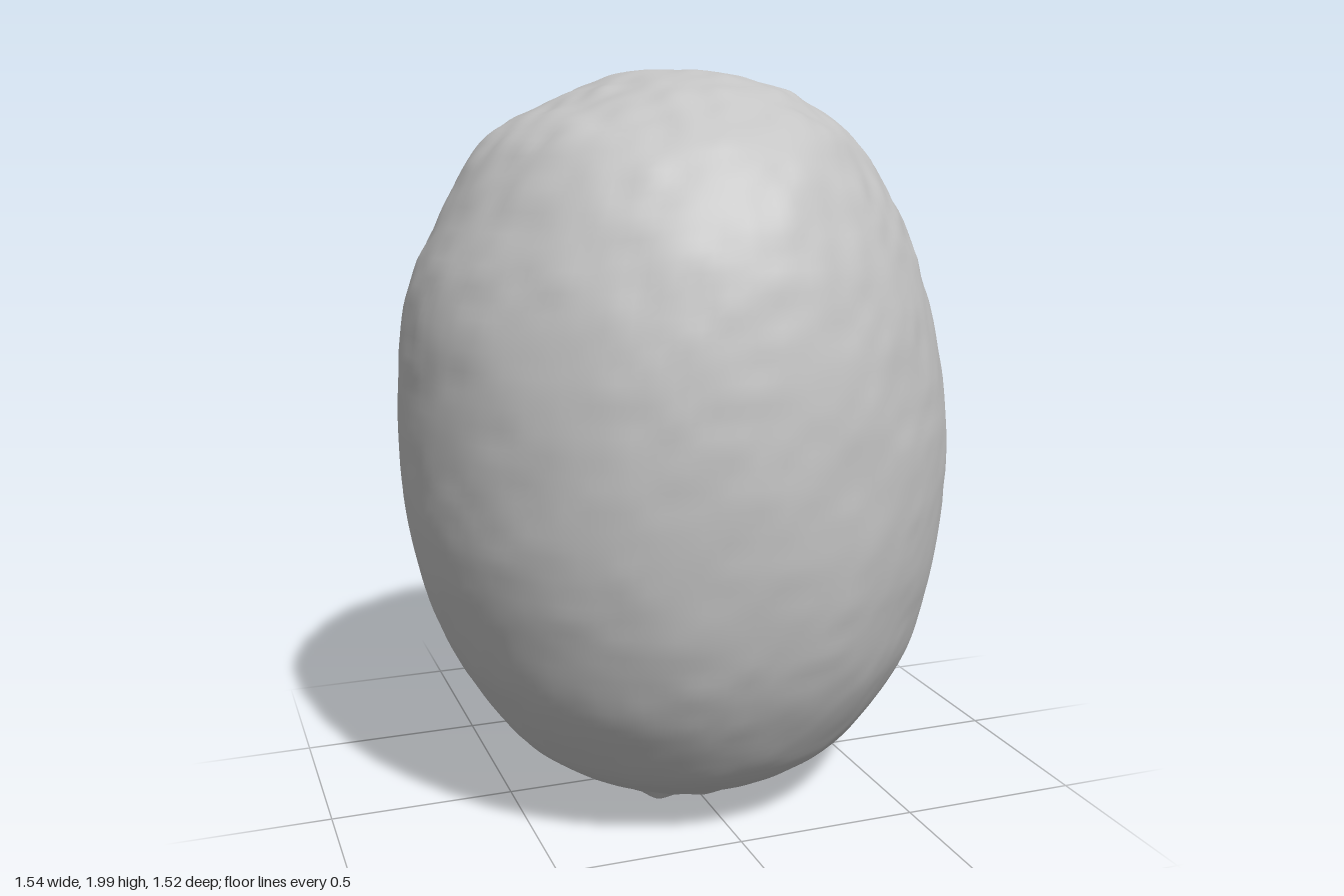
import * as THREE from 'three';

// Height, then half-widths toward +x, -x, +z, -z, from the underside dimple to the crown
const SECTIONS = [
  [0.06, 0, 0, 0, 0], [0.058, 0.09, 0.08, 0.08, 0.08], [0.08, 0.15, 0.14, 0.14, 0.14],
  [0.08, 0.2, 0.18, 0.18, 0.18], [0.04, 0.22, 0.2, 0.2, 0.2], [0.012, 0.24, 0.215, 0.22, 0.22],
  [0.028, 0.275, 0.24, 0.25, 0.25], [0.055, 0.32, 0.27, 0.29, 0.29],
  [0.1, 0.43, 0.365, 0.385, 0.39], [0.2, 0.555, 0.495, 0.515, 0.515], [0.4, 0.675, 0.63, 0.645, 0.63],
  [0.6, 0.727, 0.71, 0.715, 0.695], [0.8, 0.758, 0.755, 0.748, 0.735], [1.0, 0.766, 0.767, 0.758, 0.75],
  [1.2, 0.738, 0.762, 0.75, 0.756], [1.4, 0.685, 0.737, 0.718, 0.72], [1.6, 0.618, 0.652, 0.652, 0.612],
  [1.8, 0.487, 0.525, 0.53, 0.478], [1.9, 0.37, 0.37, 0.385, 0.355], [1.95, 0.275, 0.25, 0.285, 0.235],
  [1.987, 0.11, 0.12, 0.13, 0.11], [1.995, 0, 0, 0, 0],
];
// Bulge or flattening of the diagonals: +x+z, -x+z, -x-z, +x-z
const DIAGONALS = [-0.038, 0.004, -0.032, 0.024];

function hash(x, y, z) {
  let h = Math.imul(x, 374761393) ^ Math.imul(y, 668265263) ^ Math.imul(z, 1274126177);
  h = Math.imul(h ^ (h >>> 13), 1103515245);
  return ((h ^ (h >>> 16)) >>> 0) / 2147483648 - 1;
}

// Smooth seeded noise in -1..1
function noise(x, y, z) {
  const c = [x, y, z].map(Math.floor);
  const [u, v, w] = [x, y, z].map((p, i) => THREE.MathUtils.smoothstep(p - c[i], 0, 1));
  let sum = 0;
  for (let i = 0; i < 8; i++) {
    const a = i & 1, b = (i >> 1) & 1, d = i >> 2;
    sum += hash(c[0] + a, c[1] + b, c[2] + d) * (a ? u : 1 - u) * (b ? v : 1 - v) * (d ? w : 1 - w);
  }
  return sum;
}

function bodyGeometry() {
  const rows = 168, around = 144;
  const curve = (sx, sz, ix, iz) => new THREE.CatmullRomCurve3(
    SECTIONS.map((s) => new THREE.Vector3(sx * s[ix], s[0], sz * s[iz])), false, 'catmullrom');
  const plus = curve(1, 1, 1, 3), minus = curve(-1, -1, 2, 4);
  const positions = [], indices = [];
  const p = new THREE.Vector3(), dir = new THREE.Vector3();

  for (let r = 0; r <= rows; r++) {
    const a = plus.getPoint(r / rows), b = minus.getPoint(r / rows);
    for (let k = 0; k < around; k++) {
      const t = (k / around) * Math.PI * 2, c = Math.cos(t), s = Math.sin(t);
      const f = 1 + DIAGONALS[Math.floor((4 * k) / around)] * Math.sin(2 * t) ** 2;
      p.set(f * c * (c >= 0 ? a.x : -b.x), a.y, f * s * (s >= 0 ? a.z : -b.z));
      dir.set(p.x, (p.y - 1) * 0.8, p.z).normalize();
      // Skin is smooth low down, lumpier toward the crown and around the ragged rim
      const crown = THREE.MathUtils.smoothstep(p.y, 0.9, 1.9);
      const rim = 1 - THREE.MathUtils.smoothstep(p.y, 0.04, 0.09);
      const lumps = noise(p.x * 5 + 9, p.y * 5, p.z * 5) * (0.004 + 0.003 * crown) * (1 - rim);
      const pits = noise(p.x * 16, p.y * 16 + 4, p.z * 16) * (0.002 + 0.004 * crown + 0.012 * rim);
      p.addScaledVector(dir, lumps + pits);
      positions.push(p.x, THREE.MathUtils.clamp(p.y, 0, 2), p.z);
      if (r < rows) {
        const i = r * around + k, j = r * around + ((k + 1) % around);
        indices.push(i, i + around, j, j, i + around, j + around);
      }
    }
  }
  const g = new THREE.BufferGeometry();
  g.setAttribute('position', new THREE.Float32BufferAttribute(positions, 3));
  g.setIndex(indices);
  g.computeVertexNormals();
  return g;
}

export function createModel() {
  const grey = new THREE.MeshStandardMaterial({ color: 0xc4c4c4 });
  grey.name = 'plain grey';
  const body = new THREE.Mesh(bodyGeometry(), grey);
  body.name = 'fruitBody';
  const group = new THREE.Group();
  group.name = 'fruit';
  group.add(body);
  return group;
}
